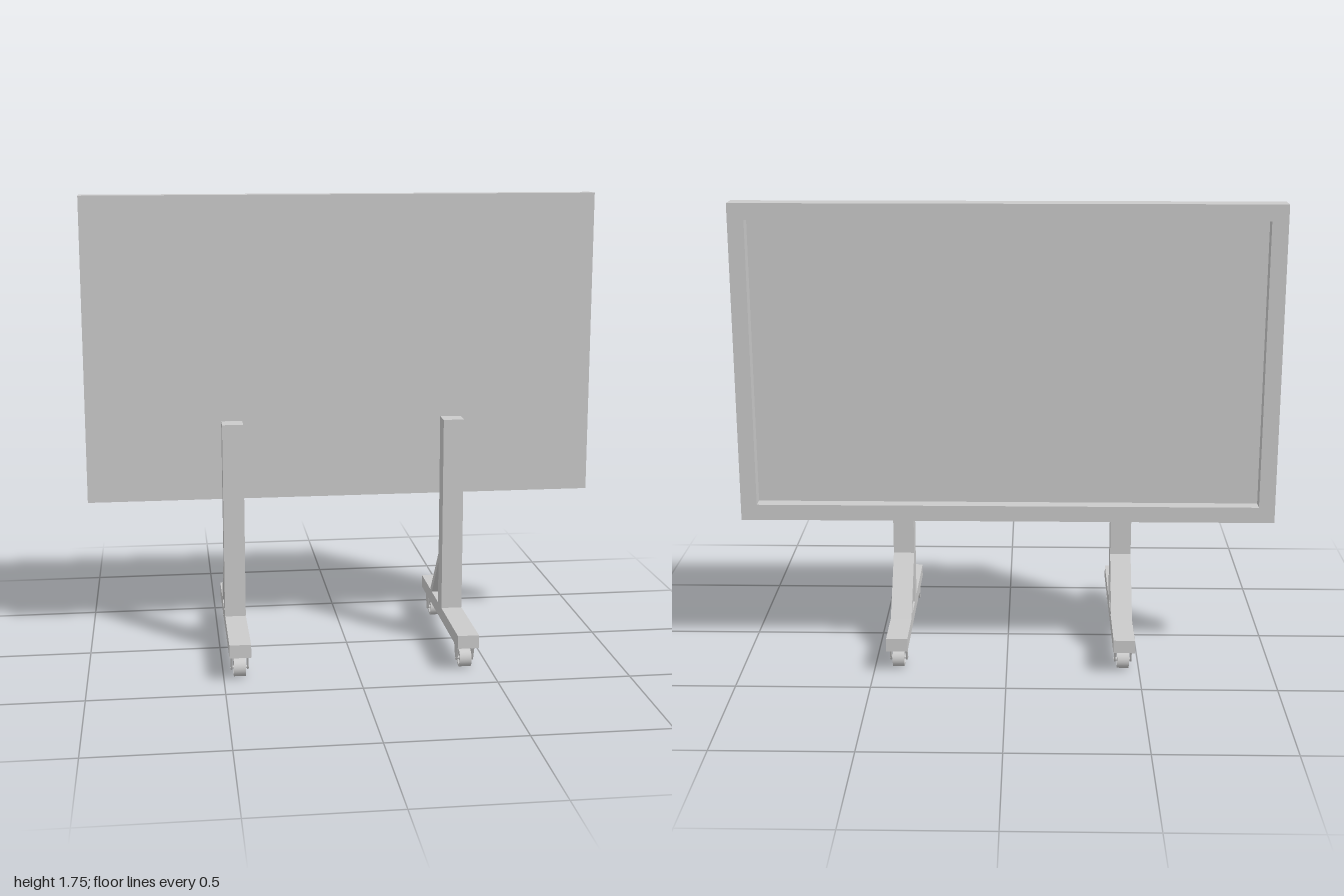
import * as THREE from 'three';

const material = new THREE.MeshStandardMaterial({ color: 0xcccccc, flatShading: true });
const smooth = new THREE.MeshStandardMaterial({ color: 0xcccccc });

function add(parent, name, geometry, x = 0, y = 0, z = 0, mat = material) {
  const mesh = new THREE.Mesh(geometry, mat);
  mesh.name = name;
  mesh.position.set(x, y, z);
  parent.add(mesh);
  return mesh;
}

// Side profile given as [z, y] points, extruded along x and centred on x = 0
function sidePlate(points, width) {
  const shape = new THREE.Shape(points.map(([z, y]) => new THREE.Vector2(-z, y)));
  const geometry = new THREE.ExtrudeGeometry(shape, { depth: width, bevelEnabled: false });
  return geometry.translate(0, 0, -width / 2).rotateY(Math.PI / 2);
}

// Solid front panel with a raised border around the back
function createScreen() {
  const screen = new THREE.Group();
  screen.name = 'screen';
  const w = 2, h = 1.19, border = 0.06, depth = 0.08, recess = 0.05;
  const rect = (Type, a, b) => new Type([
    new THREE.Vector2(-a, -b), new THREE.Vector2(a, -b),
    new THREE.Vector2(a, b), new THREE.Vector2(-a, b),
  ]);
  const outline = rect(THREE.Shape, w / 2, h / 2);
  outline.holes.push(rect(THREE.Path, w / 2 - border, h / 2 - border));
  add(screen, 'screenFrame',
    new THREE.ExtrudeGeometry(outline, { depth, bevelEnabled: false }), 0, 0, -depth / 2);
  add(screen, 'screenPanel',
    new THREE.BoxGeometry(w - 2 * border, h - 2 * border, depth - recess), 0, 0, recess / 2);
  screen.position.set(0, 1.155, -0.2);
  return screen;
}

// Wheel in a tapered fork, hanging from y = 0.095
function createCaster(z) {
  const caster = new THREE.Group();
  caster.name = 'caster';
  const r = 0.034, half = 0.022;
  const profile = [[0, -half * 0.7], [r * 0.65, -half * 0.7], [r * 0.72, -half], [r, -half],
    [r, half], [r * 0.72, half], [r * 0.65, half * 0.7], [0, half * 0.7]];
  // Each profile segment is its own lathe so that the rims stay sharp
  for (let i = 0; i < profile.length - 1; i++) {
    const pair = [profile[i], profile[i + 1]].map(p => new THREE.Vector2(...p));
    add(caster, 'wheel', new THREE.LatheGeometry(pair, 28).rotateZ(Math.PI / 2), 0, r, 0, smooth);
  }
  const axle = new THREE.CylinderGeometry(0.006, 0.006, 0.068, 12).rotateZ(Math.PI / 2);
  add(caster, 'axle', axle, 0, r, 0);
  add(caster, 'forkTop', new THREE.BoxGeometry(0.066, 0.01, 0.062), 0, 0.09, 0);
  const cheek = [[0.031, 0.095], [-0.031, 0.095], [-0.028, 0.078], [-0.011, 0.036],
    [-0.006, 0.026], [0.006, 0.026], [0.011, 0.036], [0.028, 0.078]];
  for (const side of [-1, 1]) add(caster, 'forkCheek', sidePlate(cheek, 0.006), side * 0.03);
  caster.position.z = z;
  return caster;
}

// Foot, post, diagonal brace, mounting arm and two casters
function createStand(x) {
  const stand = new THREE.Group();
  stand.name = 'stand';
  const w = 0.08;
  add(stand, 'foot', new THREE.BoxGeometry(w, 0.05, 0.78), 0, 0.12, 0);
  add(stand, 'post', new THREE.BoxGeometry(w, 0.755, 0.075), 0, 0.5225, 0.0175);
  add(stand, 'brace', sidePlate([[-0.02, 0.35], [-0.02, 0.312], [-0.157, 0.145], [-0.195, 0.145]], w));

  // The arm narrows on all sides towards the screen
  const arm = new THREE.BoxGeometry(w, 0.08, 0.14);
  const p = arm.attributes.position;
  for (let i = 0; i < p.count; i++) {
    if (p.getZ(i) < 0) {
      p.setX(i, p.getX(i) * 0.38);
      p.setY(i, p.getY(i) > 0 ? 0.013 : -0.017);
    }
  }
  arm.computeVertexNormals();
  add(stand, 'mountingArm', arm, 0, 0.86, -0.09);

  stand.add(createCaster(0.315), createCaster(-0.305));
  stand.position.x = x;
  return stand;
}

export function createModel() {
  const model = new THREE.Group();
  model.name = 'mobileDisplayStand';
  model.add(createScreen(), createStand(-0.44), createStand(0.41));
  return model;
}
